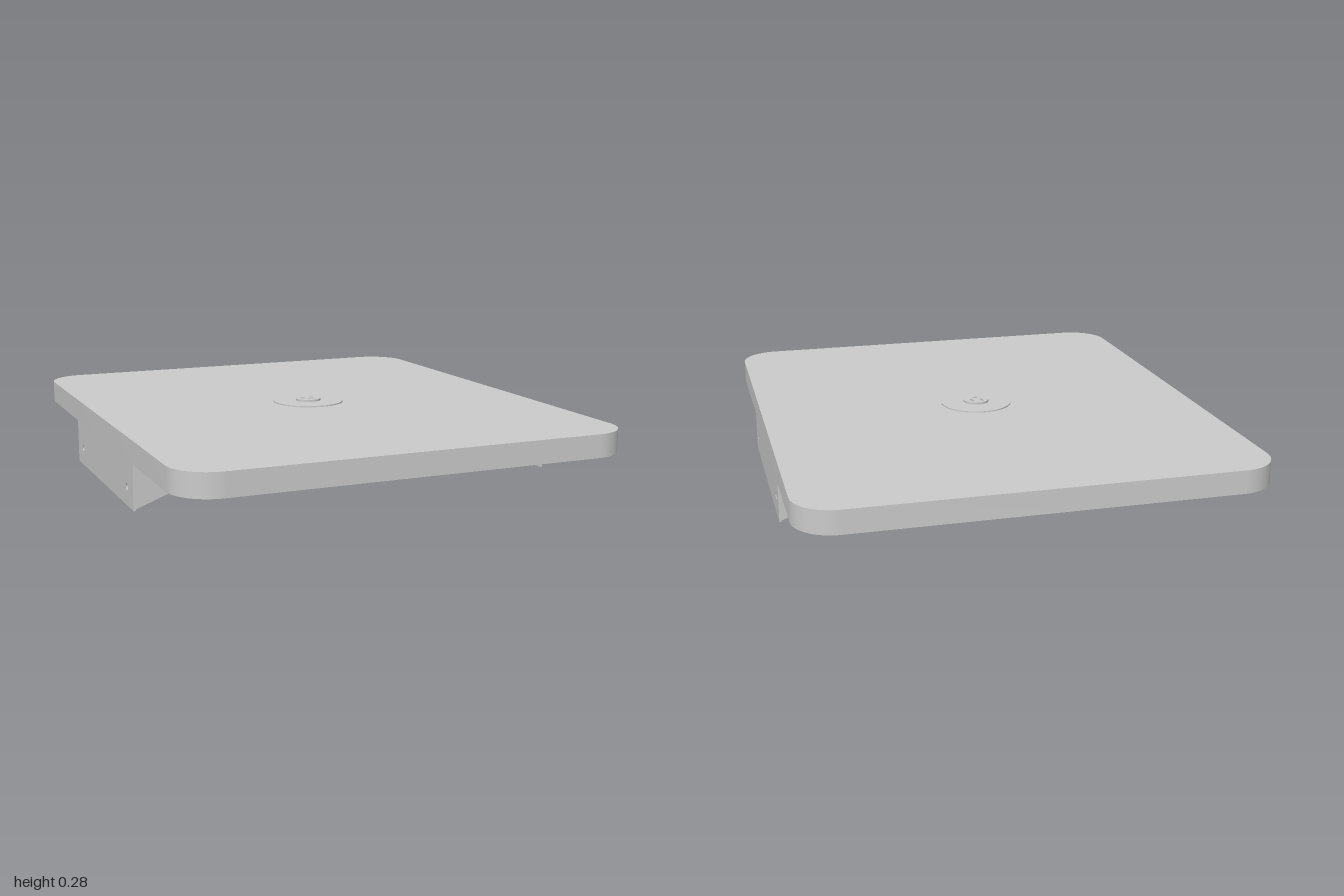
import * as THREE from 'three';
import { toCreasedNormals } from 'three/addons/utils/BufferGeometryUtils.js';

const material = new THREE.MeshStandardMaterial({ color: 0xcccccc });
const SHEET = 0.008;

function extrude(name, shape, depth, curveSegments = 16) {
  const geometry = new THREE.ExtrudeGeometry(shape, { depth, bevelEnabled: false, curveSegments });
  const mesh = new THREE.Mesh(toCreasedNormals(geometry, 0.6), material);
  mesh.name = name;
  return mesh;
}

// Lay an extrusion flat, with its underside at height y
function flat(name, shape, y, height, segments) {
  const mesh = extrude(name, shape, height, segments);
  mesh.rotation.x = -Math.PI / 2;
  mesh.position.y = y;
  return mesh;
}

function roundedRect(w, h, r, cx = 0, cy = 0, Type = THREE.Shape) {
  const s = new Type(), x = w / 2, y = h / 2;
  s.absarc(cx + x - r, cy + y - r, r, 0, Math.PI / 2);
  s.absarc(cx - x + r, cy + y - r, r, Math.PI / 2, Math.PI);
  s.absarc(cx - x + r, cy - y + r, r, Math.PI, Math.PI * 1.5);
  s.absarc(cx + x - r, cy - y + r, r, Math.PI * 1.5, Math.PI * 2);
  s.closePath();
  return s;
}

function rectangle(x0, x1, y0, y1) {
  return new THREE.Shape([[x0, y0], [x1, y0], [x1, y1], [x0, y1]].map(p => new THREE.Vector2(...p)));
}

function circle(x, y, r, Type = THREE.Path) {
  return new Type().absarc(x, y, r, 0, Math.PI * 2);
}

// Folded sheet bracket under the +x edge
function createBracket(name) {
  const bracket = new THREE.Group();
  bracket.name = name;

  const face = rectangle(-0.425, 0.425, 0, 0.174);
  for (const z of [-0.34, 0.34]) face.holes.push(circle(z, 0.07, 0.013));
  const facePlate = extrude('bracketFace', face, SHEET);
  facePlate.rotation.y = Math.PI / 2;
  facePlate.position.x = 0.85 - SHEET;
  bracket.add(facePlate);

  const flange = rectangle(0.51, 0.842, -0.417, 0.417);
  for (const [x, z] of [[0.535, 0], [0.57, -0.34], [0.57, 0.34], [0.76, -0.26], [0.76, 0.26]]) {
    flange.holes.push(circle(x, z, 0.008));
  }
  bracket.add(flat('bracketFlange', flange, 0.175 - SHEET, SHEET));

  // Tapered side cheeks with a softened inner corner
  const cheek = new THREE.Shape();
  cheek.moveTo(0.848, 0.003);
  cheek.lineTo(0.848, 0.174);
  cheek.lineTo(0.51, 0.174);
  cheek.lineTo(0.51, 0.145);
  cheek.quadraticCurveTo(0.51, 0.131, 0.525, 0.126);
  cheek.closePath();
  for (const z of [-0.424, 0.424 - SHEET]) {
    const side = extrude('bracketCheek', cheek, SHEET);
    side.position.z = z;
    bracket.add(side);
  }
  return bracket;
}

export function createModel() {
  const model = new THREE.Group();
  model.name = 'tabletop';

  // Rounded board
  model.add(flat('board', roundedRect(1.71, 2, 0.15), 0.175, 0.087, 24));

  // Edge brackets
  const left = createBracket('leftBracket');
  const right = createBracket('rightBracket');
  right.rotation.y = Math.PI;
  model.add(left, right);

  // Power socket: cover disc and raised face with recessed slots
  model.add(flat('socketCover', circle(0, 0, 0.14, THREE.Shape), 0.261, 0.006, 32));
  const face = circle(0, 0, 0.05, THREE.Shape);
  for (const x of [-0.019, 0.019]) face.holes.push(roundedRect(0.012, 0.028, 0.001, x, 0.01, THREE.Path));
  const ground = new THREE.Path();
  ground.absarc(0, -0.025, 0.01, 0, Math.PI);
  ground.lineTo(-0.01, -0.033);
  ground.lineTo(0.01, -0.033);
  ground.closePath();
  face.holes.push(ground);
  model.add(flat('socketFace', face, 0.267, 0.008, 24));

  // Small clip tabs below the socket
  for (const x of [-0.07, 0.07]) {
    const tab = new THREE.Mesh(new THREE.BoxGeometry(0.004, 0.036, 0.11), material);
    tab.name = 'socketTab';
    tab.position.set(x, 0.158, 0);
    model.add(tab);
  }
  return model;
}
